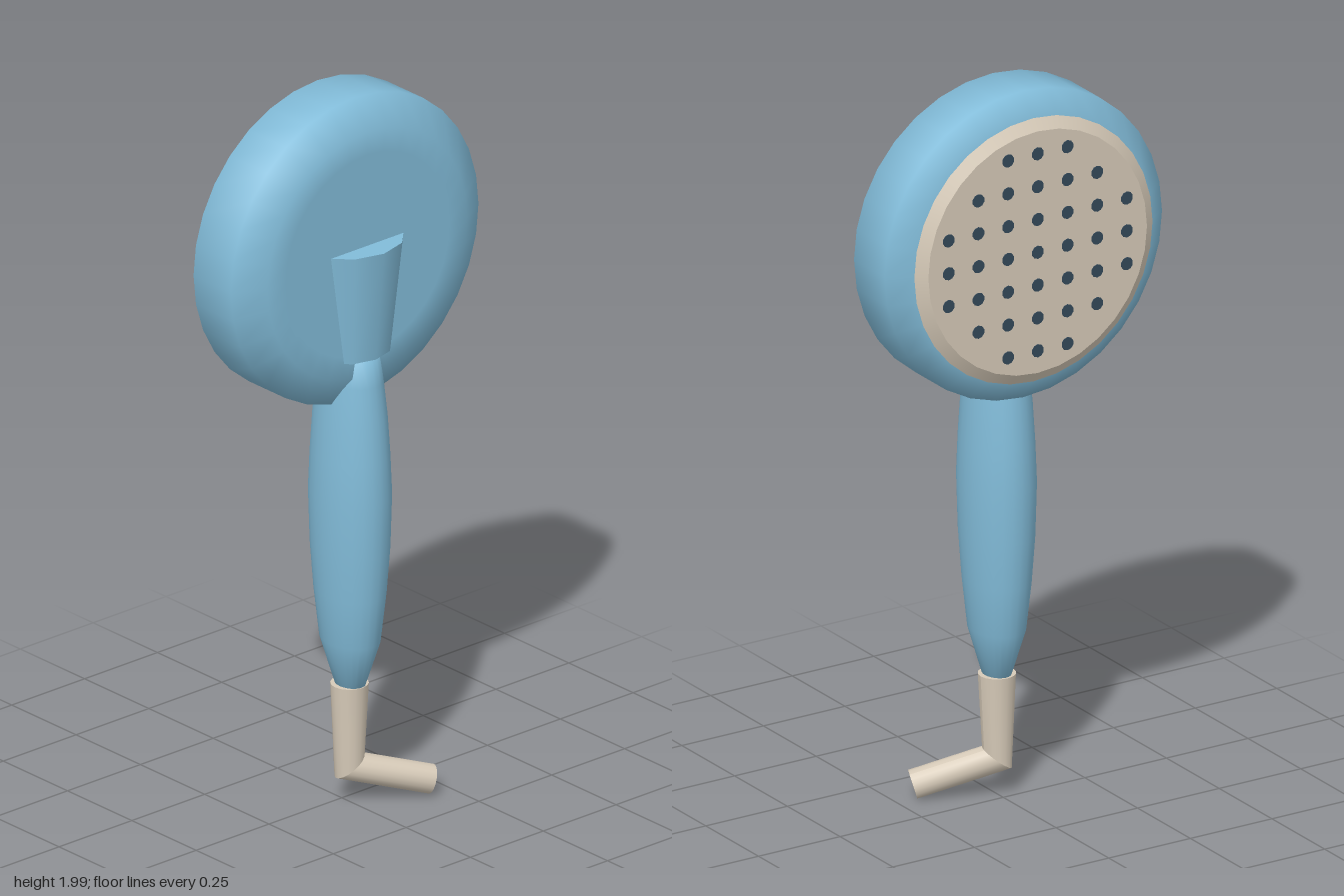
import * as THREE from 'three';

const mat = (name, color, side = THREE.FrontSide) => {
  const m = new THREE.MeshStandardMaterial({ color, side });
  m.name = name;
  return m;
};

// Two-piece elbow: a tapering pipe mitred at the bend, closed at both ends
function elbowGeometry(start, bend, end, r0, r1, sides) {
  const d0 = bend.clone().sub(start).normalize();
  const d1 = end.clone().sub(bend).normalize();
  const mitre = d0.clone().add(d1).normalize();
  const u = new THREE.Vector3(1, 0, 0);
  const v = new THREE.Vector3().crossVectors(d0, u);
  const rings = [[], [], []];
  for (let i = 0; i <= sides; i++) {
    const a = (i / sides) * Math.PI * 2;
    const dir = u.clone().multiplyScalar(Math.cos(a)).addScaledVector(v, Math.sin(a));
    const m = dir.clone().multiplyScalar(r1);
    m.addScaledVector(d0, -m.dot(mitre) / d0.dot(mitre));
    rings[0].push(start.clone().addScaledVector(dir, r0));
    rings[1].push(bend.clone().add(m));
    rings[2].push(end.clone().add(m).addScaledVector(d1, -m.dot(d1)));
  }
  const pos = [], idx = [];
  const add = (p) => pos.push(p.x, p.y, p.z) / 3 - 1;
  // walls
  for (let k = 0; k < 2; k++) {
    const a = rings[k].map(add), b = rings[k + 1].map(add);
    for (let i = 0; i < sides; i++) {
      idx.push(a[i], a[i + 1], b[i], a[i + 1], b[i + 1], b[i]);
    }
  }
  // end caps
  const c0 = add(start), e0 = rings[0].map(add);
  const c1 = add(end), e1 = rings[2].map(add);
  for (let i = 0; i < sides; i++) {
    idx.push(c0, e0[i + 1], e0[i], c1, e1[i], e1[i + 1]);
  }
  const g = new THREE.BufferGeometry();
  g.setAttribute('position', new THREE.Float32BufferAttribute(pos, 3));
  g.setIndex(idx);
  g.computeVertexNormals();
  return g;
}

export function createModel() {
  const group = new THREE.Group();
  const blue = mat('blue plastic', 0x82bcd9);
  const beige = mat('beige plastic', 0xd6cab8, THREE.DoubleSide);
  const dark = mat('dark holes', 0x34495a);
  const headY = 1.577;

  const add = (name, geometry, material, x = 0, y = 0, z = 0, parent = group) => {
    const mesh = new THREE.Mesh(geometry, material);
    mesh.name = name;
    mesh.position.set(x, y, z);
    parent.add(mesh);
    return mesh;
  };
  const lathe = (points, sides) =>
    new THREE.LatheGeometry(points.map(([r, y]) => new THREE.Vector2(r, y)), sides);

  // Round head with bevelled rims, axis along z
  add('head', lathe([
    [0, -0.136], [0.3, -0.136], [0.365, -0.136], [0.425, -0.095],
    [0.425, 0.05], [0.343, 0.099], [0.28, 0.099], [0, 0.099],
  ], 32).rotateX(Math.PI / 2), blue, 0, headY);

  // Spray plate floating just behind the head
  add('sprayPlate', new THREE.CylinderGeometry(0.365, 0.335, 0.02, 32).rotateX(Math.PI / 2),
    beige, 0, headY, -0.153);

  // Spray holes on a square grid trimmed to a circle
  const holes = new THREE.Group();
  holes.name = 'sprayHoles';
  group.add(holes);
  const holeGeometry = new THREE.CylinderGeometry(0.018, 0.018, 0.004, 10).rotateX(Math.PI / 2);
  for (let i = -3; i <= 3; i++) {
    for (let j = -3; j <= 3; j++) {
      if (i * i + j * j > 10) continue;
      add('sprayHole', holeGeometry, dark, i * 0.091, headY + j * 0.091, -0.163, holes);
    }
  }

  // Flared socket joining the handle to the head
  add('socket', new THREE.CylinderGeometry(0.16, 0.127, 0.31, 12), blue, 0, 1.445, 0.005);

  // Swelling oval grip
  const handle = add('handle', lathe([
    [0, 0.345], [0.045, 0.345], [0.09, 0.475], [0.107, 0.61], [0.118, 0.74],
    [0.123, 0.89], [0.118, 1.0], [0.11, 1.11], [0.098, 1.21], [0.084, 1.3], [0, 1.3],
  ], 24), blue, 0, 0, 0.032);
  handle.scale.x = 0.78;

  // Bent hose connector
  add('hoseConnector', elbowGeometry(
    new THREE.Vector3(0, 0.347, 0.03),
    new THREE.Vector3(0, 0.113, 0.03),
    new THREE.Vector3(0.197, 0.048, 0.125), 0.05, 0.039, 16), beige);

  return group;
}
